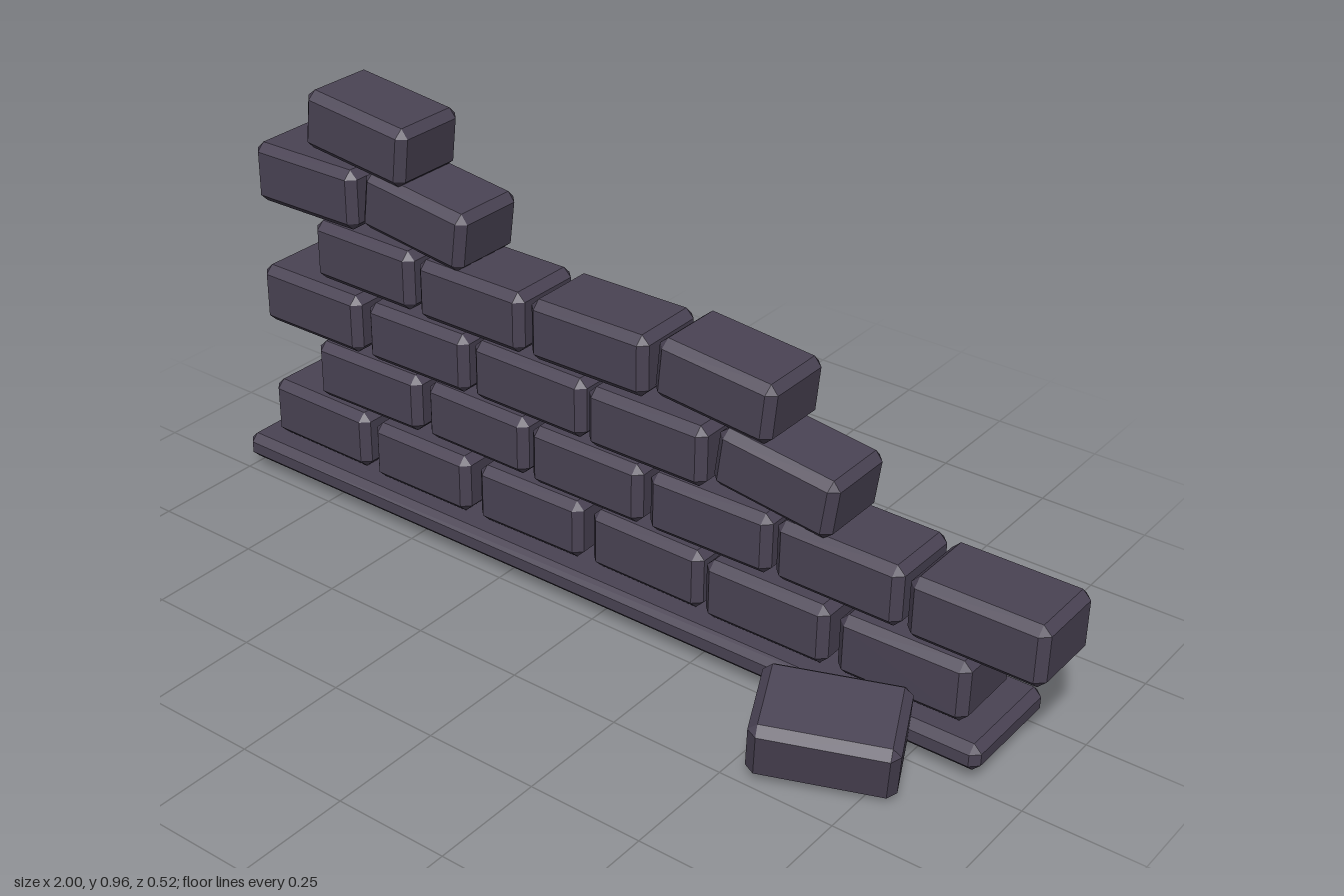
import * as THREE from 'three';
import { ConvexGeometry } from 'three/addons/geometries/ConvexGeometry.js';

// Box with flat chamfers on every edge and corner
function chamferedBox(w, h, d, c) {
  const points = [];
  for (const sx of [-1, 1]) for (const sy of [-1, 1]) for (const sz of [-1, 1]) {
    const x = w / 2, y = h / 2, z = d / 2;
    points.push(
      new THREE.Vector3(sx * x, sy * (y - c), sz * (z - c)),
      new THREE.Vector3(sx * (x - c), sy * y, sz * (z - c)),
      new THREE.Vector3(sx * (x - c), sy * (y - c), sz * z));
  }
  return new ConvexGeometry(points);
}

export function createModel() {
  const group = new THREE.Group();
  const stone = new THREE.MeshStandardMaterial({ color: 0x4a4354, flatShading: true });
  stone.name = 'dark stone';

  function block(name, size, chamfer, position, rotation = [0, 0, 0]) {
    const mesh = new THREE.Mesh(chamferedBox(...size, chamfer), stone);
    mesh.name = name;
    mesh.position.set(...position);
    mesh.rotation.set(...rotation, 'YXZ');
    group.add(mesh);
  }

  // Base slab
  block('baseSlab', [1.9, 0.06, 0.26], 0.017, [-0.05, 0.06, -0.13]);

  // Level courses: height, depth centre and the left and right end of each brick
  const courses = [
    { y: 0.163, z: -0.127, spans: [[-0.945, -0.66], [-0.635, -0.365], [-0.34, -0.065], [-0.04, 0.24], [0.25, 0.54], [0.56, 0.845]] },
    { y: 0.308, z: -0.13, spans: [[-0.8, -0.505], [-0.485, -0.21], [-0.195, 0.09], [0.105, 0.395], [0.405, 0.69], [0.705, 0.995]] },
    { y: 0.452, z: -0.126, spans: [[-0.945, -0.66], [-0.64, -0.365], [-0.35, -0.055], [-0.045, 0.245]] },
    { y: 0.597, z: -0.128, spans: [[-0.79, -0.51], [-0.49, -0.21], [-0.195, 0.095]] },
    { y: 0.74, z: -0.124, spans: [[-0.945, -0.66]] },
  ];
  courses.forEach(({ y, z, spans }, row) => spans.forEach(([a, b], i) => {
    const shift = 0.004 * (((i * 2 + row) % 3) - 1);
    const yaw = 0.012 * (((i + row * 2) % 3) - 1);
    block(`course${row + 1}Brick${i + 1}`, [b - a, 0.135, 0.183], 0.018, [(a + b) / 2, y, z + shift], [0, yaw, 0]);
  }));

  // Loose bricks slipping on the broken edge: x, y, z, tilt
  [
    [0.4, 0.454, -0.127, -0.125],
    [0.25, 0.599, -0.134, -0.09],
    [-0.5, 0.742, -0.125, -0.125],
    [-0.65, 0.886, -0.122, -0.11],
  ].forEach(([x, y, z, tilt], i) =>
    block(`looseBrick${i + 1}`, [0.275, 0.132, 0.182], 0.018, [x, y, z], [0, 0, tilt]));

  // Fallen brick in front of the wall
  block('fallenBrick', [0.285, 0.135, 0.19], 0.018, [0.65, 0.09, 0.113], [0.2, 0.42, -0.05]);

  return group;
}
